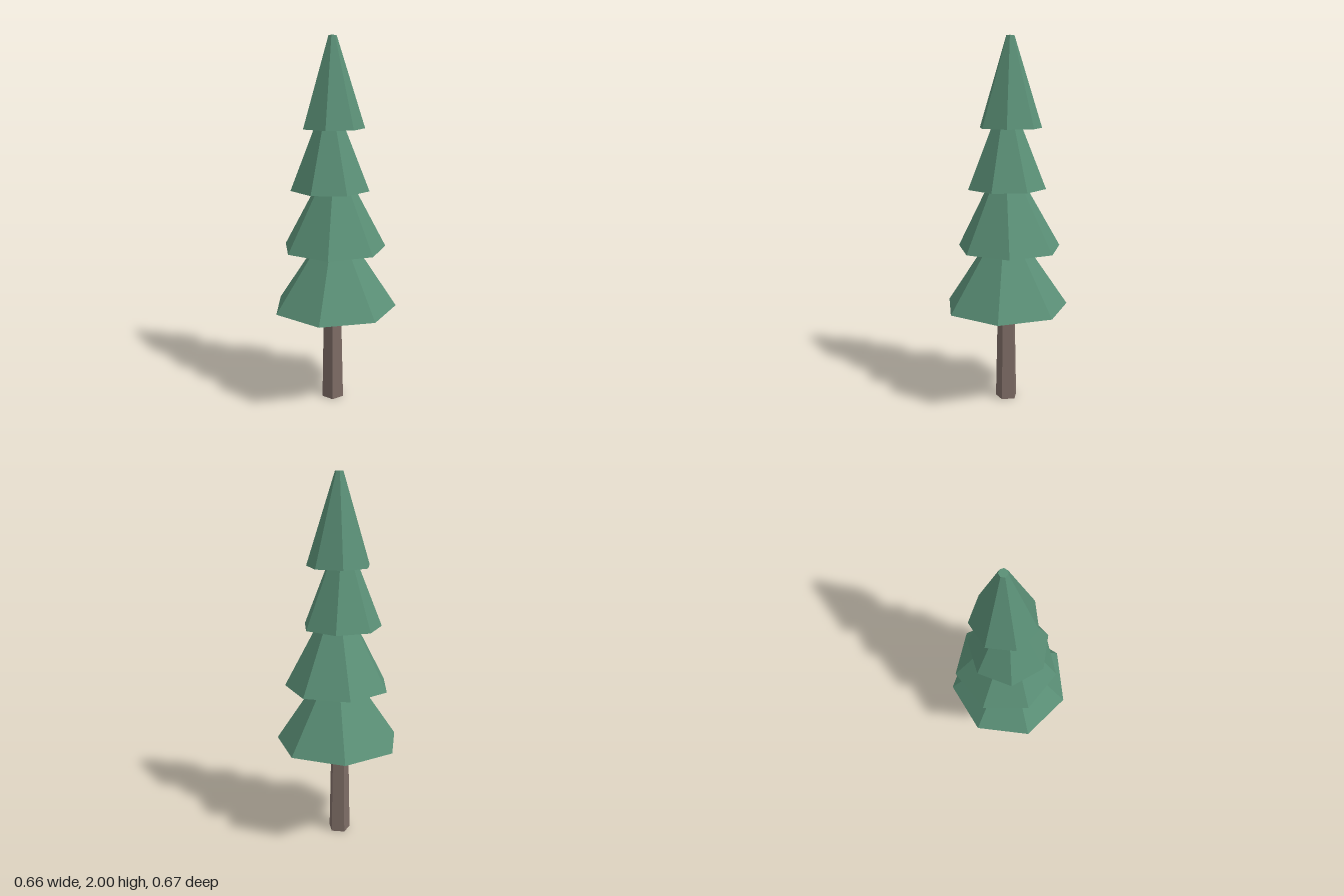
import * as THREE from 'three';

// Tapered low-poly prism. base/top = [x, z, radius]; angle = direction of the first corner from +x towards +z, in degrees.
function taper(name, material, sides, y0, y1, base, top, angle) {
  const height = y1 - y0;
  const start = Math.PI / 2 - THREE.MathUtils.degToRad(angle);
  const geometry = new THREE.CylinderGeometry(top[2], base[2], height, sides, 1, false, start);
  geometry.translate(0, height / 2, 0);

  // Lean the prism so its top centre sits above the given point
  const p = geometry.attributes.position;
  for (let i = 0; i < p.count; i++) {
    const t = p.getY(i) / height;
    p.setX(i, p.getX(i) + (top[0] - base[0]) * t);
    p.setZ(i, p.getZ(i) + (top[1] - base[1]) * t);
  }
  geometry.computeVertexNormals();

  const mesh = new THREE.Mesh(geometry, material);
  mesh.name = name;
  mesh.position.set(base[0], y0, base[1]);
  return mesh;
}

export function createModel() {
  const tree = new THREE.Group();
  tree.name = 'pineTree';
  const bark = new THREE.MeshStandardMaterial({ color: 0x7d6c65, flatShading: true });
  const needles = new THREE.MeshStandardMaterial({ color: 0x5a8f76, flatShading: true });

  // Five-sided trunk with one corner facing the front
  tree.add(taper('trunk', bark, 5, 0, 0.55, [-0.025, -0.006, 0.062], [-0.026, -0.006, 0.05], 90));

  // Four seven-sided foliage tiers, each turned and shifted a little
  const tiers = [
    ['lowestFoliage', 0.545, 0.88, [-0.017, -0.002, 0.344], [-0.013, 0, 0.12], -0.9],
    ['lowerFoliage', 0.875, 1.205, [-0.018, -0.021, 0.287], [-0.014, -0.008, 0.11], -7.7],
    ['upperFoliage', 1.2, 1.53, [-0.037, -0.003, 0.215], [-0.039, -0.003, 0.083], 13.6],
    ['topFoliage', 1.525, 2, [-0.024, -0.024, 0.172], [-0.025, -0.024, 0.022], -1.7],
  ];
  for (const [name, y0, y1, base, top, angle] of tiers) {
    tree.add(taper(name, needles, 7, y0, y1, base, top, angle));
  }
  return tree;
}
